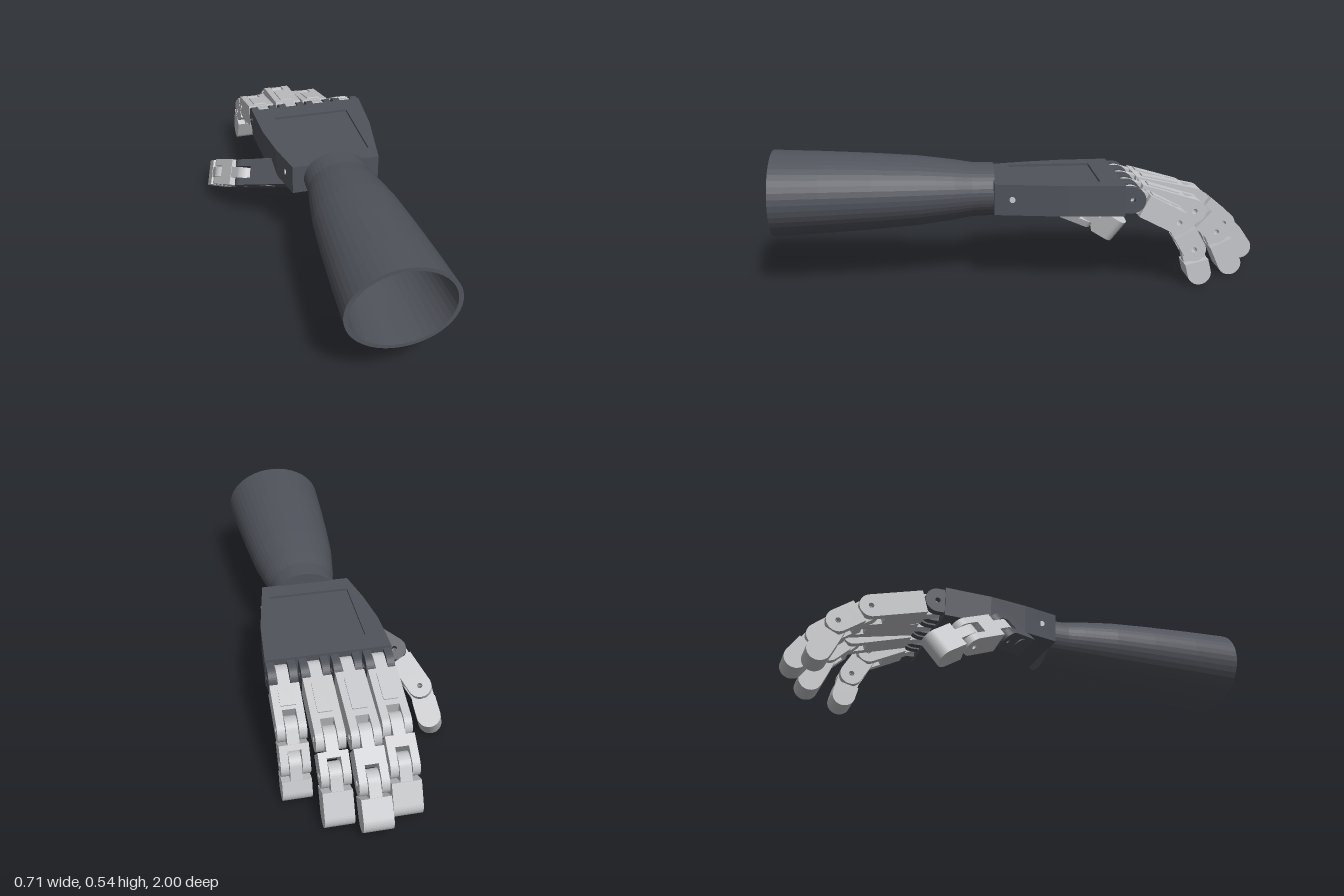
import * as THREE from 'three';

const dark = new THREE.MeshStandardMaterial({ color: 0x50535b });
dark.name = 'charcoal shell';
const light = new THREE.MeshStandardMaterial({ color: 0xc6c7ca });
light.name = 'light grey links';

const R = 0.048;      // joint radius
const W = 0.113;      // finger width
const TONGUE = 0.046; // central tongue width
const PIN = 0.011;    // pin hole radius

function add(parent, geo, mat, name) {
  const mesh = new THREE.Mesh(geo, mat);
  mesh.name = name;
  parent.add(mesh);
  return mesh;
}

// Side profile from u0 to u1, optionally rounded at the ends, extruded across the hinge axis
function plate(u0, u1, r, round0, round1, width, offset, hole) {
  const s = new THREE.Shape();
  s.moveTo(u0, -r);
  s.lineTo(u1, -r);
  if (round1) s.absarc(u1, 0, r, -Math.PI / 2, Math.PI / 2, false);
  else s.lineTo(u1, r);
  s.lineTo(u0, r);
  if (round0) s.absarc(u0, 0, r, Math.PI / 2, Math.PI * 1.5, false);
  if (hole !== undefined) {
    const h = new THREE.Path();
    h.absarc(hole, 0, PIN, 0, Math.PI * 2, true);
    s.holes.push(h);
  }
  const g = new THREE.ExtrudeGeometry(s, { depth: width, bevelEnabled: false, curveSegments: 10 });
  return g.translate(0, 0, offset - width / 2);
}

// Two outer lugs that hold the next link
function fork(parent, u0, u1, mat, r = R) {
  const w = (W - TONGUE) / 2 - 0.003;
  for (const side of [-1, 1]) {
    add(parent, plate(u0, u1, r, false, true, w, side * (W - w) / 2, u1), mat, 'forkLug');
  }
}

// Group whose x runs from a to b and whose z is the hinge axis
function frame(a, b, axis, name) {
  const d = b.clone().sub(a).normalize();
  const v = axis.clone().cross(d).normalize();
  const n = d.clone().cross(v);
  const g = new THREE.Group();
  g.name = name;
  g.quaternion.setFromRotationMatrix(new THREE.Matrix4().makeBasis(d, v, n));
  g.position.copy(a);
  return g;
}

// Link with a tongue at a and either a fork or a rounded tip at b
function link(parent, a, b, axis, name, isTip, panel) {
  const g = frame(a, b, axis, name);
  const L = a.distanceTo(b);
  const start = R + 0.006;
  add(g, plate(0, start + 0.004, R - 0.002, true, false, TONGUE, 0, 0), light, 'tongue');
  if (isTip) {
    add(g, plate(start, L, R, false, true, W, 0), light, 'fingertip');
  } else {
    const end = Math.max(start + 0.008, L - R - 0.006);
    add(g, plate(start, end, R, false, false, W, 0), light, 'linkBody');
    fork(g, end - 0.002, L, light);
    if (panel) {
      const len = (end - start) * 0.72;
      const p = add(g, new THREE.BoxGeometry(len, 0.006, 0.058), light, 'backPanel');
      p.position.set((start + end) / 2, R + 0.002, 0);
    }
  }
  parent.add(g);
}

function digit(parent, points, axis, name) {
  const g = new THREE.Group();
  g.name = name;
  const names = ['proximalLink', 'middleLink', 'tipLink'].slice(4 - points.length);
  for (let i = 0; i < points.length - 1; i++) {
    link(g, points[i], points[i + 1], axis, names[i], i === points.length - 2, points.length === 4 && i === 0);
  }
  parent.add(g);
}

function buildForearm(root) {
  // Closed profile: wrist cap, outer wall, rim, inner wall, inner floor
  const profile = [
    [0, 0.11], [0.135, 0.11], [0.138, 0.2], [0.153, 0.27], [0.177, 0.42], [0.193, 0.6], [0.207, 0.8],
    [0.218, 1], [0.2, 1], [0.19, 0.8], [0.177, 0.6], [0.16, 0.42], [0.137, 0.27], [0.125, 0.13], [0, 0.13],
  ].map(([r, y]) => new THREE.Vector2(r, y));
  const geo = new THREE.LatheGeometry(profile, 44).toNonIndexed();
  geo.rotateX(Math.PI / 2);
  geo.scale(1, 0.8, 1);
  geo.computeVertexNormals();
  add(root, geo, dark, 'forearm').position.set(0.1, 0.363, 0);

  // Bolt heads inside the cuff
  for (const sx of [-1, 1]) for (const sy of [-1, 1]) {
    const bolt = add(root, new THREE.CylinderGeometry(0.013, 0.013, 0.008, 16).rotateX(Math.PI / 2), dark, 'wristBolt');
    bolt.position.set(0.1 + sx * 0.108, 0.363 + sy * 0.036, 0.133);
  }
}

function buildPalm(root) {
  // Outline in x and -z
  const outline = () => new THREE.Shape([
    [-0.083, -0.115], [0.285, -0.115], [0.333, 0.17], [0.35, 0.4], [-0.149, 0.4], [-0.142, 0.2], [-0.118, 0.04],
  ].map(([x, y]) => new THREE.Vector2(x, y)));
  const slab = (shape, y, h, name) => {
    const geo = new THREE.ExtrudeGeometry(shape, { depth: h, bevelEnabled: false });
    geo.rotateX(-Math.PI / 2);
    add(root, geo, dark, name).position.y = y;
  };
  slab(outline(), 0.3, 0.115, 'palm');
  // Raised frame around the sunken back panel
  const rim = outline();
  rim.holes.push(new THREE.Path([
    [-0.065, -0.035], [-0.065, 0.31], [0.265, 0.31], [0.265, -0.035],
  ].map(([x, y]) => new THREE.Vector2(x, y))));
  slab(rim, 0.415, 0.01, 'palmFrame');

  // Small pin ends on the palm sides
  for (const [x, turn] of [[0.2975, -0.167], [-0.0985, 0.22]]) {
    const pin = add(root, new THREE.CylinderGeometry(0.012, 0.012, 0.006, 16).rotateZ(Math.PI / 2), light, 'palmPin');
    pin.position.set(x, 0.364, 0.045);
    pin.rotation.y = -turn;
  }
}

export function createModel() {
  const root = new THREE.Group();
  root.name = 'mechanicalArm';
  buildForearm(root);
  buildPalm(root);

  // Fingers: centre x, then (z, y) of the joints beyond the knuckle
  const hinge = new THREE.Vector3(1, 0, 0);
  const knuckle = [-0.43, 0.364];
  const fingers = [
    ['indexFinger', -0.088, [-0.7, 0.288], [-0.825, 0.2], [-0.888, 0.068]],
    ['middleFinger', 0.039, [-0.745, 0.295], [-0.877, 0.187], [-0.953, 0.078]],
    ['ringFinger', 0.165, [-0.715, 0.278], [-0.81, 0.187], [-0.872, 0.048]],
    ['littleFinger', 0.292, [-0.62, 0.267], [-0.685, 0.153], [-0.71, 0.053]],
  ];
  for (const [name, x, ...joints] of fingers) {
    const pts = [knuckle, ...joints].map(([z, y]) => new THREE.Vector3(x, y, z));
    const mount = frame(new THREE.Vector3(x, 0.364, -0.38), pts[0], hinge, 'knuckleMount');
    fork(mount, 0, 0.05, dark, 0.052);
    root.add(mount);
    digit(root, pts, hinge, name);
  }

  // Thumb mount, reaching down and out from under the palm
  const axis = new THREE.Vector3(0.25, 0.8, -0.57).normalize();
  const base = new THREE.Vector3(-0.055, 0.3, -0.045);
  const joint = new THREE.Vector3(-0.222, 0.23, -0.19);
  const mount = frame(base, joint, axis, 'thumbMount');
  const L = base.distanceTo(joint);
  add(mount, plate(0, L - 0.054, R, false, false, W, 0), dark, 'thumbBase');
  fork(mount, L - 0.056, L, dark);
  for (const side of [-1, 1]) {
    const cap = add(mount, new THREE.CylinderGeometry(0.034, 0.034, 0.008, 24).rotateX(Math.PI / 2), dark, 'thumbScrew');
    cap.position.set(L * 0.5, 0, side * W / 2);
  }
  root.add(mount);
  digit(root, [joint, new THREE.Vector3(-0.293, 0.145, -0.353), new THREE.Vector3(-0.303, 0.075, -0.46)], axis, 'thumb');

  return root;
}
